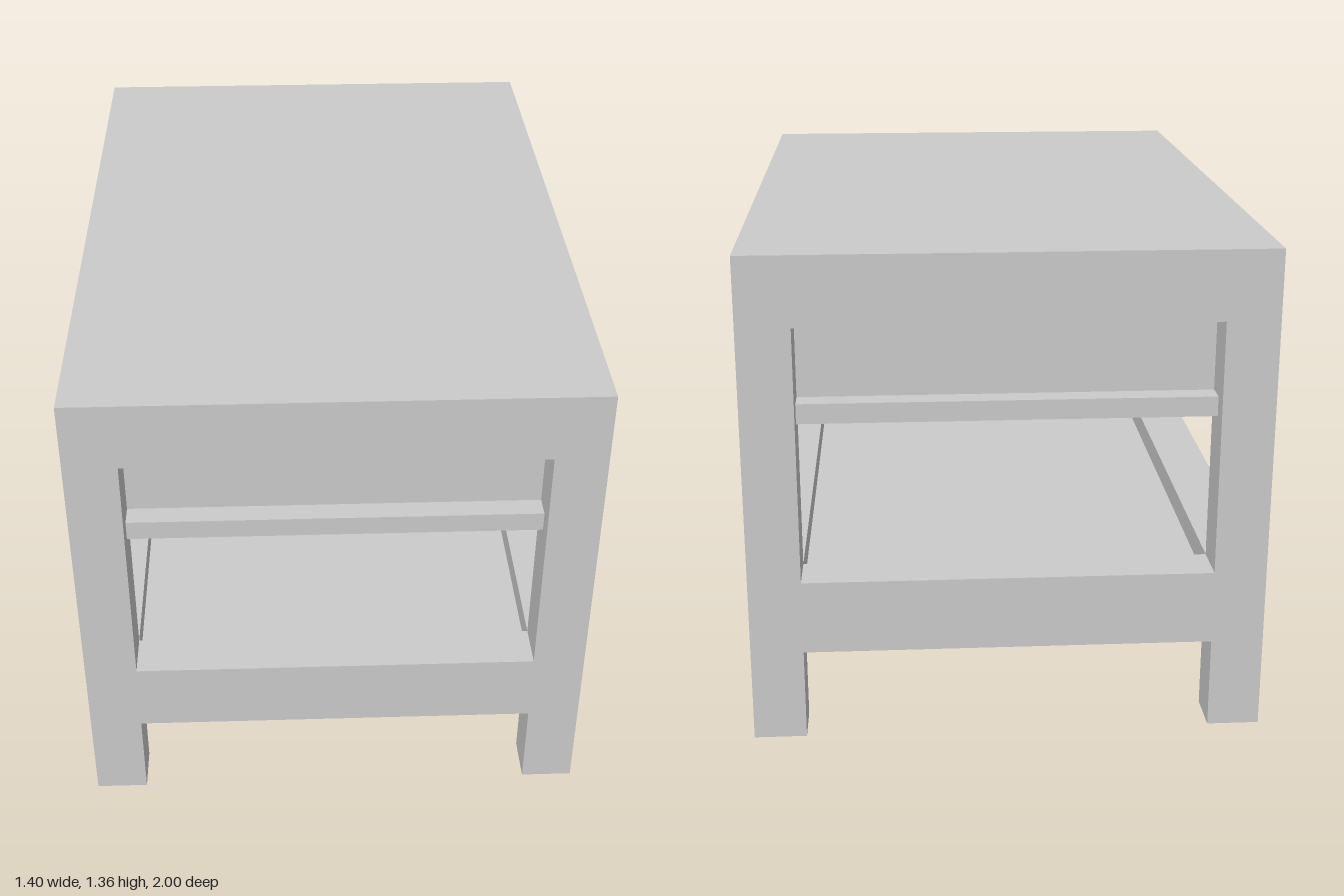
import * as THREE from 'three';

export function createModel() {
  const group = new THREE.Group();
  group.name = 'drawerTable';
  const material = new THREE.MeshStandardMaterial({ color: 0xcccccc, flatShading: true });
  const smooth = new THREE.MeshStandardMaterial({ color: 0xcccccc });

  const add = (name, geometry, mat = material) => {
    const mesh = new THREE.Mesh(geometry, mat);
    mesh.name = name;
    group.add(mesh);
    return mesh;
  };
  // Box given by its two extreme corners
  const box = (name, x0, x1, y0, y1, z0, z1) =>
    add(name, new THREE.BoxGeometry(x1 - x0, y1 - y0, z1 - z0))
      .position.set((x0 + x1) / 2, (y0 + y1) / 2, (z0 + z1) / 2);

  const W = 0.7, D = 1;            // outer half width and half depth
  const ix = 0.557, iz = 0.875;    // inner faces of the legs
  const topY = 1.165;              // underside of the thick top

  box('tableTop', -W, W, topY, 1.355, -D, D);

  // Legs
  for (const sx of [-1, 1]) for (const sz of [-1, 1]) {
    const x = sx * (W + ix) / 2, z = sz * (D + iz) / 2;
    box('leg', x - (W - ix) / 2, x + (W - ix) / 2, 0, topY, z - (D - iz) / 2, z + (D - iz) / 2);
  }

  // Lower frame with an inset shelf
  const r0 = 0.255, r1 = 0.46;
  box('frontStretcher', -ix, ix, r0, r1, iz, D);
  box('backStretcher', -ix, ix, r0, r1, -D, -iz);
  box('leftStretcher', ix, W, r0, r1, -iz, iz);
  box('rightStretcher', -W, -ix, r0, r1, -iz, iz);
  box('lowerShelf', -ix, ix, 0.29, 0.39, -iz, iz);

  // Board carrying the drawers, and the closed panel on the left side
  const s0 = 0.89, s1 = 0.945;
  box('drawerBoard', -0.66, 0.66, s0, s1, -0.945, 0.945);
  box('leftPanel', 0.62, W, s0, 1.155, -iz, iz);

  // Side boards closing the drawer row at both ends
  box('frontSideBoard', -0.6, 0.62, s1, 1.14, 0.865, 0.885);
  box('backSideBoard', -0.6, 0.62, s1, 1.14, -0.885, -0.865);

  // Three drawers, slightly taller at their fronts, each with a round knob
  const profile = new THREE.Shape([
    new THREE.Vector2(-0.62, s1), new THREE.Vector2(0.62, s1),
    new THREE.Vector2(0.62, 1.14), new THREE.Vector2(-0.62, 1.156),
  ]);
  for (const [z0, z1] of [[-iz, -0.428], [-0.412, 0.398], [0.414, iz]]) {
    add('drawer', new THREE.ExtrudeGeometry(profile, { depth: z1 - z0, bevelEnabled: false }))
      .position.z = z0;
  }
  for (const z of [-0.655, 0.005, 0.66]) {
    add('drawerKnob', new THREE.SphereGeometry(0.027, 20, 14), smooth).position.set(-0.637, 1.06, z);
  }
  return group;
}
